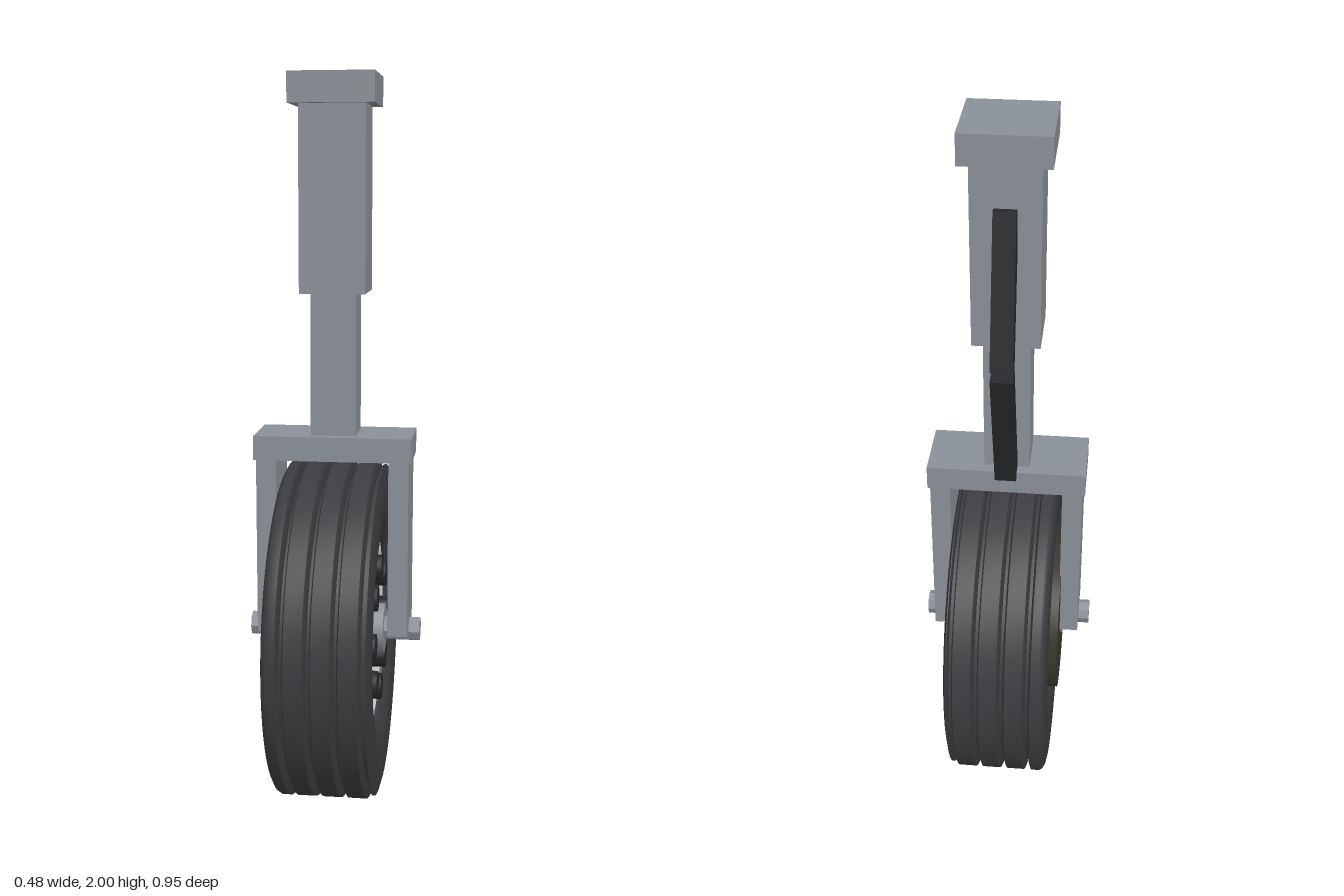
import * as THREE from 'three';
import { toCreasedNormals } from 'three/addons/utils/BufferGeometryUtils.js';

const mat = (color, extra = {}) => new THREE.MeshStandardMaterial({ color, ...extra });
const metal = mat(0x8a9097);
const axleMetal = mat(0x8a9097, { flatShading: true });
const rubber = mat(0x3c3b3f);
const silver = mat(0xd6d7dc);
const black = mat(0x25272a);
const brake = mat(0x3a372e);

const WHEEL_Y = 0.475;

export function createModel() {
  const model = new THREE.Group();
  model.name = 'landingGear';

  const add = (parent, name, geometry, material, x = 0, y = 0, z = 0) => {
    const mesh = new THREE.Mesh(geometry, material);
    mesh.name = name;
    mesh.position.set(x, y, z);
    parent.add(mesh);
    return mesh;
  };

  // Box given by its size and vertical span
  const block = (name, w, d, y0, y1, x = 0) =>
    add(model, name, new THREE.BoxGeometry(w, y1 - y0, d), metal, x, (y0 + y1) / 2, 0);

  // Cylinder along x between two stations
  const xCylinder = (r, x0, x1, sides) =>
    new THREE.CylinderGeometry(r, r, x1 - x0, sides).rotateZ(-Math.PI / 2).translate((x0 + x1) / 2, 0, 0);

  // Profile of [radius, x] pairs turned around the x axis
  const xLathe = (profile, crease) => toCreasedNormals(
    new THREE.LatheGeometry(profile.map(([r, x]) => new THREE.Vector2(r, x)), 64).rotateZ(-Math.PI / 2), crease);

  // Strut
  block('mountingCap', 0.23, 0.23, 1.92, 2.0);
  block('upperStrut', 0.178, 0.178, 1.425, 1.92);
  block('piston', 0.124, 0.124, 1.035, 1.425);

  // Fork
  block('forkCrown', 0.434, 0.188, 0.97, 1.037);
  for (const side of [-1, 1]) {
    block(side > 0 ? 'leftForkLeg' : 'rightForkLeg', 0.055, 0.186, 0.48, 0.97, side * 0.182);
  }

  // Folding scissor links behind the strut
  const link = (name, y0, z0, y1, z1) => {
    const length = Math.hypot(y1 - y0, z1 - z0);
    const mesh = add(model, name, new THREE.BoxGeometry(0.058, length, 0.055), black,
      0, (y0 + y1) / 2, (z0 + z1) / 2);
    mesh.rotation.x = Math.atan2(z1 - z0, y1 - y0);
  };
  link('upperLink', 1.415, -0.185, 1.805, -0.086);
  link('lowerLink', 1.025, -0.08, 1.4, -0.185);

  // Wheel
  const wheel = new THREE.Group();
  wheel.name = 'wheel';
  wheel.position.y = WHEEL_Y;
  model.add(wheel);

  // Tyre with rounded shoulder and four tread grooves
  const tyre = [[0.268, -0.09], [0.275, -0.115], [0.3, -0.134], [0.36, -0.14], [0.435, -0.14],
    [0.456, -0.136], [0.469, -0.129], [0.474, -0.12]];
  for (const g of [-0.088, -0.018, 0.052, 0.122]) {
    tyre.push([0.474, g - 0.011], [0.465, g - 0.007], [0.436, g - 0.004], [0.436, g + 0.004], [0.465, g + 0.007]);
    if (g < 0.1) tyre.push([0.474, g + 0.011]);
  }
  tyre.push([0.465, 0.132], [0.435, 0.14], [0.36, 0.14], [0.3, 0.134], [0.275, 0.115], [0.268, 0.09]);
  add(wheel, 'tyre', xLathe(tyre, 0.6), rubber);

  // Rim with a shallow dish on each side
  add(wheel, 'rim', xLathe([[0.001, -0.07], [0.15, -0.078], [0.245, -0.095], [0.273, -0.108],
    [0.273, 0.108], [0.245, 0.095], [0.15, 0.078], [0.001, 0.07]], 0.6), silver);

  // Eight wheel nuts
  for (let i = 0; i < 8; i++) {
    const a = (i / 8) * Math.PI * 2;
    add(wheel, 'wheelNut', xCylinder(0.037, 0.07, 0.132, 16), black, 0, 0.176 * Math.cos(a), 0.176 * Math.sin(a));
  }

  add(wheel, 'brakeDisc', xCylinder(0.228, -0.158, -0.07, 48), brake);
  add(wheel, 'hub', xCylinder(0.068, -0.164, 0.14, 24), metal);
  add(wheel, 'axle', xCylinder(0.034, -0.24, 0.24, 8), axleMetal);

  return model;
}
